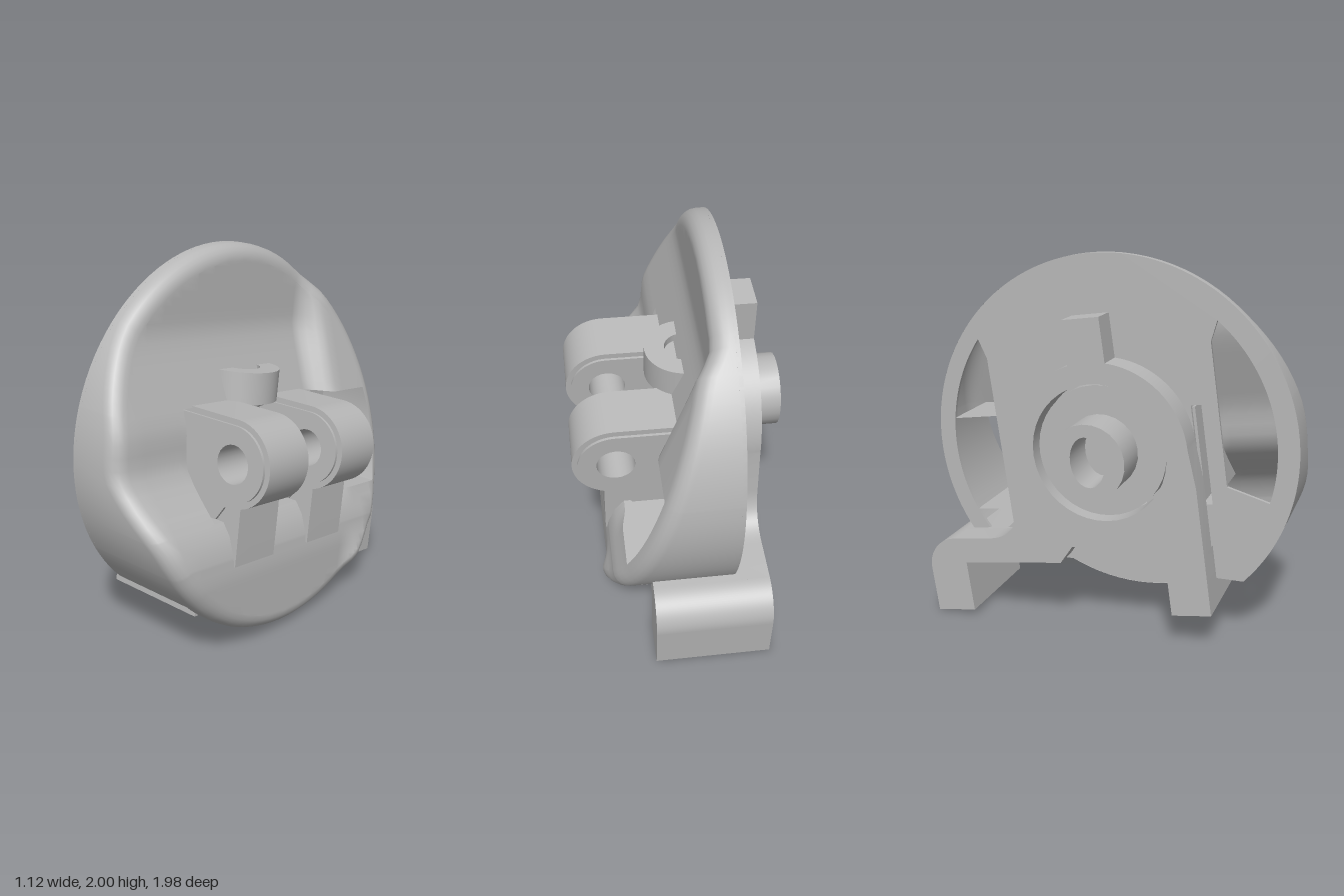
import * as THREE from 'three';
import { toCreasedNormals } from 'three/addons/utils/BufferGeometryUtils.js';

const R = 0.99, RI = 0.905, FILLET = R - RI;     // shell radius, inner edge of the rim fillet
const BACK = -0.235, LIP_BACK = 0.26;            // back of the shell, back of the lower lip
const TILT = 0.137;                              // roll of the whole assembly
const CUT = { right: -0.763, left: -0.564 };     // ends of the level lower cut at +z and -z
const W = { z0: -RI, z1: 0.515, y0: -0.34, y1: 0.185 }; // window in the shell

// Front surface of the shell: height x against y
const PROFILE = [[-1, 0.4], [-0.6, 0.395], [-0.5, 0.38], [-0.4, 0.34], [-0.33, 0.285], [-0.27, 0.22], [-0.2, 0.15],
  [-0.12, 0.085], [-0.05, 0.065], [0.05, 0.06], [0.12, 0.045], [0.48, -0.09], [0.56, -0.11], [1, -0.11]];
const clamp = THREE.MathUtils.clamp;

function frontX(y, z) {
  let i = 0;
  while (i < PROFILE.length - 2 && y > PROFILE[i + 1][0]) i++;
  const [y0, x0] = PROFILE[i], [y1, x1] = PROFILE[i + 1];
  const base = x0 + (x1 - x0) * (y - y0) / (y1 - y0);
  // straight raised flank beside the hollow
  const flank = Math.max(0, 0.2 - 0.34 * y - base);
  return base + flank * THREE.MathUtils.smoothstep(-z, 0.47, 0.62);
}

const uniqueSorted = (list) => list.sort((a, b) => a - b).filter((v, i, a) => i === 0 || v - a[i - 1] > 1e-4);

function shellGeometry() {
  const pos = [];
  const quad = (a, b, c, d) => pos.push(...a, ...b, ...c, ...a, ...c, ...d);
  const rows = [Math.asin(W.y0 / RI), Math.asin(W.y1 / RI), Math.asin(CUT.right / R), Math.asin(CUT.left / R)];
  for (let i = 0; i <= 48; i++) rows.push(-Math.PI / 2 + Math.PI * i / 48);
  const thetas = uniqueSorted(rows);
  const stops = [W.z1, -0.47, -0.5, -0.53, -0.56, -0.59, -0.62];
  for (let i = 0; i <= 16; i++) stops.push(-RI + 2 * RI * i / 16);
  const cols = uniqueSorted(stops);
  const point = (t, z) => {
    const y = RI * Math.sin(t), w = RI * Math.cos(t), zz = clamp(z, -w, w);
    return [frontX(y, zz), y, zz];
  };
  const toBack = ([, y, z]) => [BACK, y, z];
  const inside = (v, a, b) => v > a && v < b;
  for (let i = 0; i < thetas.length - 1; i++) {
    const t0 = thetas[i], t1 = thetas[i + 1], tm = (t0 + t1) / 2;
    const inRows = inside(RI * Math.sin(tm), W.y0, W.y1);
    // face, leaving the window open
    for (let j = 0; j < cols.length - 1; j++) {
      if (inRows && inside((cols[j] + cols[j + 1]) / 2, W.z0, W.z1)) continue;
      const a = point(t0, cols[j]), b = point(t0, cols[j + 1]), c = point(t1, cols[j + 1]), d = point(t1, cols[j]);
      if (b[2] - a[2] > 1e-5 || c[2] - d[2] > 1e-5) quad(a, d, c, b);
    }
    // rounded rim and outer wall on both sides
    for (const s of [-1, 1]) {
      const end = R * Math.sin(tm) < (s > 0 ? CUT.right : CUT.left) ? LIP_BACK : BACK;
      const rim = (t, k) => {
        const [x] = point(t, s * 2), p = Math.PI / 2 * Math.min(k, 5) / 5;
        const r = RI + FILLET * Math.sin(p);
        return [k > 5 ? end : x - FILLET * (1 - Math.cos(p)), r * Math.sin(t), s * r * Math.cos(t)];
      };
      for (let k = 0; k < 6; k++) {
        const q = [rim(t0, k), rim(t1, k), rim(t1, k + 1), rim(t0, k + 1)];
        if (s < 0) q.reverse();
        quad(...q);
      }
    }
    // window side walls
    if (inRows) for (const z of [W.z0, W.z1]) {
      const a = point(t0, z), b = point(t1, z);
      quad(a, b, toBack(b), toBack(a));
    }
  }
  // window floor and ceiling
  for (const y of [W.y0, W.y1]) for (let j = 0; j < cols.length - 1; j++) {
    if (!inside((cols[j] + cols[j + 1]) / 2, W.z0, W.z1)) continue;
    const t = Math.asin(y / RI), a = point(t, cols[j]), b = point(t, cols[j + 1]);
    if (b[2] - a[2] > 1e-5) quad(a, b, toBack(b), toBack(a));
  }
  const g = new THREE.BufferGeometry();
  g.setAttribute('position', new THREE.Float32BufferAttribute(pos, 3));
  return toCreasedNormals(g, 0.6);
}

const poly = (pts) => new THREE.Shape(pts.map(([a, b]) => new THREE.Vector2(a, b)));
const circlePath = (x, y, r) => new THREE.Path().absarc(x, y, r, 0, Math.PI * 2);
const extrude = (shape, depth, seg = 12) =>
  toCreasedNormals(new THREE.ExtrudeGeometry(shape, { depth, bevelEnabled: false, curveSegments: seg }), 0.5);

export function createModel() {
  const grey = new THREE.MeshStandardMaterial({ color: 0xb8b8b8, side: THREE.DoubleSide });
  grey.name = 'grey';
  const model = new THREE.Group(), body = new THREE.Group();
  body.name = 'tiltedAssembly';
  body.position.y = 1.01;
  body.rotation.x = -TILT;
  model.add(body);
  const add = (name, geometry, x = 0, y = 0, z = 0) => {
    const m = new THREE.Mesh(geometry, grey);
    m.name = name;
    m.position.set(x, y, z);
    body.add(m);
    return m;
  };
  // shape drawn in (z, y), solid between two x values
  const addX = (name, shape, x0, x1, seg) => add(name, extrude(shape, x1 - x0, seg).rotateY(-Math.PI / 2), x1);
  // shape drawn in (x, -z), solid between two y values
  const addY = (name, shape, y0, y1) => add(name, extrude(shape, y1 - y0).rotateX(-Math.PI / 2), 0, y0);

  add('shell', shellGeometry());

  // flat back of the shell with the window and two crescent openings
  const cutR = Math.asin(CUT.right / R), cutL = Math.PI - Math.asin(CUT.left / R);
  const back = new THREE.Shape().absarc(0, 0, R, cutR, cutL, false);
  back.holes.push(poly([[-0.5, W.y0], [W.z1, W.y0], [W.z1, W.y1], [-0.5, W.y1]]));
  back.holes.push(new THREE.Path().absarc(0, 0, 0.9, Math.PI - 0.74, Math.PI + 0.6, false)
    .lineTo(-0.63, -0.42).lineTo(-0.63, 0.5));
  back.holes.push(new THREE.Path().absarc(0, 0, 0.88, -0.4, 0.75, false).lineTo(0.6, 0.5).lineTo(0.6, -0.25));
  addX('shellBack', back, BACK, BACK + 0.02, 40);
  const zR = R * Math.cos(cutR), zL = R * Math.cos(cutL);
  const floorWidth = Math.hypot(zR - zL, CUT.right - CUT.left);
  add('shellFloor', new THREE.BoxGeometry(LIP_BACK - BACK, 0.01, floorWidth),
    (LIP_BACK + BACK) / 2, (CUT.right + CUT.left) / 2 + 0.005, (zR + zL) / 2).rotation.x = TILT;
  addX('lipBack', new THREE.Shape().absarc(0, 0, R - 0.002, cutL, Math.PI * 2 + cutR, false),
    LIP_BACK, LIP_BACK + 0.01, 32);
  add('windowPost', new THREE.BoxGeometry(0.26, 0.53, 0.13), -0.09, -0.08, -0.565);

  // hinge lugs with pin holes, raised side faces and feet running down into the lip
  const lug = (r, x0, endAngle, foot) => {
    const s = poly([[x0, foot[foot.length - 1][1]], ...foot.slice().reverse()]);
    s.absarc(0.33, -0.03, r, endAngle, Math.PI / 2, false);
    s.lineTo(x0, r - 0.03);
    s.holes.push(circlePath(0.33, -0.03, 0.1));
    return s;
  };
  const outer = lug(0.225, -0.2, -1.28, [[0.395, -0.3], [0.395, -0.55]]);
  const raised = lug(0.195, -0.18, -0.93, [[0.3, -0.26], [0.25, -0.335]]);
  for (const [z0, z1] of [[0.135, 0.465], [-0.44, -0.12]]) {
    add('hingeLug', extrude(outer, z1 - z0 - 0.03), 0, 0, z0 + 0.015);
    add('hingeLugFace', extrude(raised, z1 - z0), 0, 0, z0);
  }

  // clamp screw: half-round head, core, thread and foot
  const SX = -0.065;
  const head = new THREE.Shape().absarc(SX, 0, 0.205, -Math.PI / 2, Math.PI / 2, false);
  head.lineTo(SX, 0.1);
  head.absarc(SX, 0, 0.1, Math.PI / 2, -Math.PI / 2, true);
  addY('screwHead', head, 0.18, 0.35);
  addY('screwSocket', new THREE.Shape().absarc(SX, 0, 0.102, -Math.PI / 2, Math.PI / 2, false), 0.18, 0.31);
  add('screwCore', new THREE.CylinderGeometry(0.118, 0.118, 0.5, 20), SX, -0.05, 0);
  const turns = 5, helix = [];
  for (let i = 0; i <= turns * 12; i++) {
    const a = i / 12 * Math.PI * 2;
    helix.push(new THREE.Vector3(0.124 * Math.cos(a), -0.2 + 0.37 * i / (turns * 12), 0.124 * Math.sin(a)));
  }
  add('screwThread', new THREE.TubeGeometry(new THREE.CatmullRomCurve3(helix), turns * 16, 0.024, 5), SX);
  add('screwFoot', new THREE.CylinderGeometry(0.135, 0.135, 0.17, 20), SX, -0.29, 0);
  add('screwFootRest', new THREE.BoxGeometry(0.4, 0.02, 0.27), 0.04, -0.365, 0.01);

  // rear bracket plate: domed ring, top tab, long arm and short leg
  const a = Math.acos(0.1 / 0.47);
  const plate = poly([[-0.92, -0.59], [-0.3, -0.59], [-0.22, -0.5], [0.28, -0.5], [0.28, -0.88], [0.49, -0.88], [0.49, -0.2]]);
  plate.absarc(0, 0, 0.47, 0, a, false);
  plate.lineTo(0.1, 0.69);
  plate.lineTo(-0.1, 0.69);
  plate.absarc(0, 0, 0.47, Math.PI - a, Math.PI, false);
  plate.lineTo(-0.5, -0.26);
  plate.quadraticCurveTo(-0.52, -0.45, -0.7, -0.45);
  plate.lineTo(-0.92, -0.45);
  plate.holes.push(circlePath(0, 0, 0.36));
  addX('bracketPlate', plate, -0.41, -0.26, 20);

  // hook with a rounded shoulder, and drilled feet
  const hook = poly([[-0.62, -0.45], [-0.62, -0.59], [-0.865, -0.59], [-0.865, -0.62], [-1.087, -0.62]]);
  hook.absarc(-0.917, -0.62, 0.17, Math.PI, Math.PI / 2, true);
  addX('bracketHook', hook, -0.41, 0.19);
  const foot = (z0, z1) => {
    const s = poly([[-0.41, -z1], [0.19, -z1], [0.19, -z0], [-0.41, -z0]]);
    for (const x of [-0.23, 0.12]) s.holes.push(circlePath(x, -(z0 + z1) / 2, 0.03));
    return s;
  };
  addY('hookFoot', foot(-1.087, -0.865), -0.87, -0.62);
  addY('shortFoot', foot(0.28, 0.49), -0.88, -0.56);

  // pivot disc and hollow hub
  addX('pivotDisc', new THREE.Shape().absarc(0, 0, 0.345, 0, Math.PI * 2), -0.36, -0.22, 20);
  const hub = new THREE.Shape().absarc(0, 0, 0.195, 0, Math.PI * 2);
  hub.holes.push(new THREE.Path().absellipse(0, 0, 0.09, 0.13, 0, Math.PI * 2));
  addX('hub', hub, -0.57, -0.35, 12);

  return model;
}
